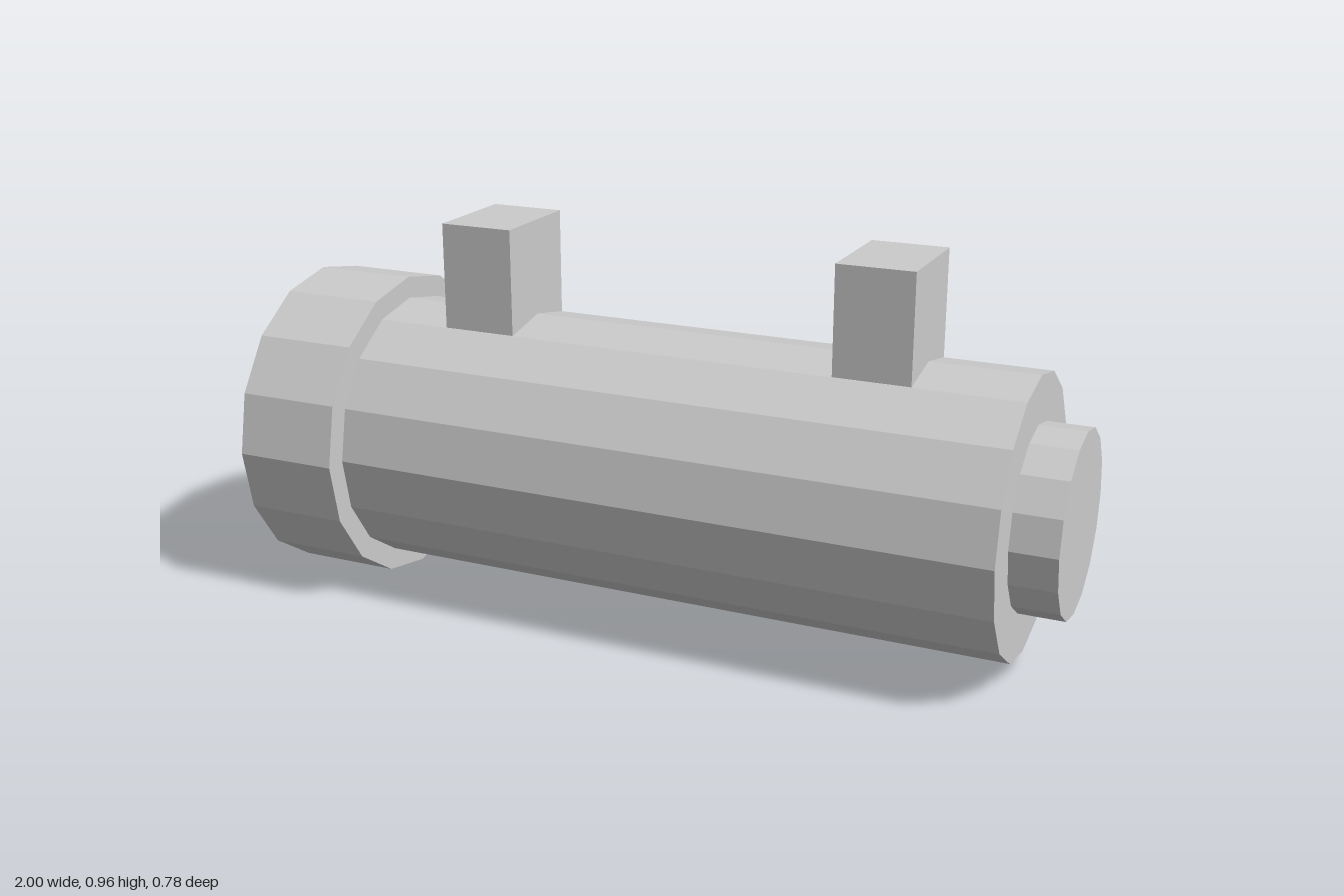
import * as THREE from 'three';

const SIDES = 16;
const AXIS_Y = 0.39;

export function createModel() {
  const group = new THREE.Group();
  const material = new THREE.MeshStandardMaterial({ color: 0xcccccc, flatShading: true });

  function add(name, geometry, x, y) {
    const mesh = new THREE.Mesh(geometry, material);
    mesh.name = name;
    mesh.position.set(x, y, 0);
    group.add(mesh);
  }

  // Revolve a [radius, x] profile around the long axis; outer walls run toward +x
  function addTurned(name, profile) {
    const points = profile.map(([r, x]) => new THREE.Vector2(r, x));
    add(name, new THREE.LatheGeometry(points, SIDES).rotateZ(-Math.PI / 2), 0, AXIS_Y);
  }

  // Main tube: bored from the collar end, closed at the other
  addTurned('tubeBody', [[0, 0.8], [0.28, 0.8], [0.28, -0.86], [0.335, -0.86], [0.335, 0.89], [0, 0.89]]);

  // Wider open collar that sleeves over the end of the tube
  addTurned('collar', [[0.335, -0.74], [0.335, -1], [0.39, -1], [0.39, -0.74], [0.335, -0.74]]);

  // Small end plug
  addTurned('endPlug', [[0.22, 0.89], [0.22, 1], [0, 1]]);

  // Two mounting blocks on top
  for (const [name, x] of [['rearMount', -0.46], ['frontMount', 0.54]]) {
    add(name, new THREE.BoxGeometry(0.185, 0.26, 0.256), x, 0.83);
  }

  return group;
}
